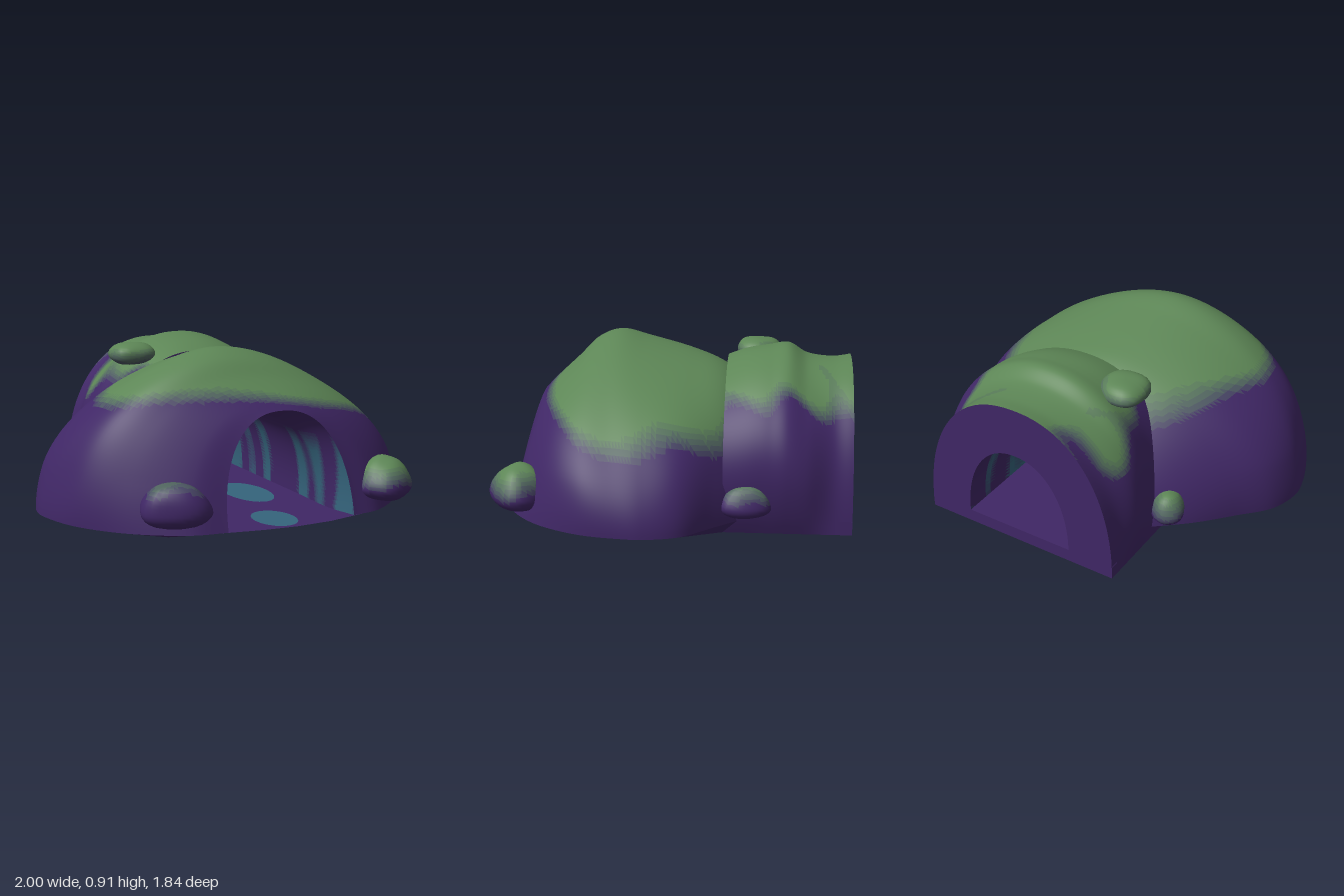
import * as THREE from 'three';
import { ConvexGeometry } from 'three/addons/geometries/ConvexGeometry.js';

const MOSS = 0x5d8656, ROCK = 0x402766, TEAL = 0x35647c, CRYSTAL = 0x7a5a9c;
const FLOOR = 0.07, STEPS = 80, BANDS = 6;

const wave = (x, y, z) =>
  (Math.sin(7 * x + 2 * z + 1) + Math.sin(9 * y - 5 * z + 2 * x) + Math.sin(11 * z + 4 * x - 3 * y)) / 3;

const material = (color) => new THREE.MeshStandardMaterial({ color, side: THREE.DoubleSide });

// One arch: feet at xL and xR, crown at height top; feet and crown may lie at different z.
// bulgeL and bulgeR swell its flanks, skew shifts its crown sideways.
function arch({ xL, xR, zf, top, zt = zf, n = 2, y0 = FLOOR, skew = 0, bulgeL = 0, bulgeR = 0 }) {
  return Array.from({ length: STEPS + 1 }, (_, j) => {
    const a = (j / STEPS) * Math.PI;
    const c = Math.cos(a), h = Math.pow(Math.max(0, Math.sin(a)), 2 / n);
    const x = (xL + xR) / 2 + ((xR - xL) / 2) * Math.sign(c) * Math.pow(Math.abs(c), 2 / n)
      + skew * h * h + 4 * h * (1 - h) * (c > 0 ? bulgeR : -bulgeL);
    return new THREE.Vector3(x, y0 + (top - y0) * h, zf + (zt - zf) * h);
  });
}

// Smooth skin through a row of arches, optionally roughened between its ends.
function loft(arches, rows, rough = 0, y0 = FLOOR) {
  const curves = arches[0].map((_, j) =>
    new THREE.CatmullRomCurve3(arches.map((s) => s[j]), false, 'centripetal'));
  const pos = [], index = [];
  for (let i = 0; i <= rows; i++) {
    const t = i / rows;
    curves.forEach((curve) => {
      const p = curve.getPoint(t);
      const lift = Math.min(1, 4 * (p.y - y0));
      const d = 1 + rough * lift * wave(p.x, p.y, p.z) * Math.min(1, 5 * t * (1 - t));
      pos.push(0.08 + (p.x - 0.08) * d, y0 + (p.y - y0) * d, p.z);
    });
  }
  const w = STEPS + 1;
  for (let i = 0; i < rows; i++) for (let j = 0; j < STEPS; j++) {
    const a = i * w + j, b = a + w;
    index.push(a, b, a + 1, b, b + 1, a + 1);
  }
  const g = new THREE.BufferGeometry();
  g.setAttribute('position', new THREE.Float32BufferAttribute(pos, 3));
  g.setIndex(index);
  g.computeVertexNormals();
  return g;
}

// Splits a skin into bands blending from rock to a patch colour by the level at each face centre.
function paint(geometry, name, level, patchName, patchColor) {
  const src = geometry.toNonIndexed(), p = src.attributes.position, nr = src.attributes.normal;
  const sets = Array.from({ length: BANDS + 1 }, () => ({ p: [], n: [] }));
  for (let i = 0; i < p.count; i += 3) {
    const mid = (k) => (p.array[3 * i + k] + p.array[3 * i + 3 + k] + p.array[3 * i + 6 + k]) / 3;
    const v = level(mid(0), mid(1), mid(2)) / 0.12 + 0.5;
    const set = sets[Math.round(BANDS * THREE.MathUtils.clamp(v, 0, 1))];
    for (let k = 3 * i; k < 3 * i + 9; k++) { set.p.push(p.array[k]); set.n.push(nr.array[k]); }
  }
  const group = new THREE.Group();
  group.name = name;
  sets.forEach((set, k) => {
    if (!set.p.length) return;
    const g = new THREE.BufferGeometry();
    g.setAttribute('position', new THREE.Float32BufferAttribute(set.p, 3));
    g.setAttribute('normal', new THREE.Float32BufferAttribute(set.n, 3));
    const color = new THREE.Color(ROCK).lerp(new THREE.Color(patchColor), k / BANDS);
    const mesh = new THREE.Mesh(g, material(color));
    mesh.name = k === 0 ? name + 'Rock' : k === BANDS ? patchName : patchName + 'Edge';
    group.add(mesh);
  });
  return group;
}

// Lumpy stone with a flattened base, narrowing upwards by taper, turned about y; mossy above mossY.
function boulder(name, [x, y, z], [rx, ry, rz], mossY, taper, turn) {
  const g = new THREE.SphereGeometry(1, 28, 20), p = g.attributes.position;
  for (let i = 0; i < p.count; i++) {
    const v = new THREE.Vector3().fromBufferAttribute(p, i);
    const square = 0.95 / Math.pow(v.x ** 4 + v.y ** 4 + v.z ** 4, 0.08);
    v.multiplyScalar(square * (1 + 0.1 * wave(v.x * 0.4 + x, v.y * 0.4, v.z * 0.4 + z)));
    const slim = 1 - taper * Math.max(0, v.y + 0.4);
    p.setXYZ(i, v.x * rx * slim, Math.max(v.y, -0.85) * ry, v.z * rz * slim);
  }
  g.rotateY(turn).translate(x, y, z);
  g.computeVertexNormals();
  return paint(g, name, (a, b, c) => b - mossY - 0.03 * wave(a * 3, 0, c * 3), name + 'Moss', MOSS);
}

export function createModel() {
  const model = new THREE.Group();
  model.name = 'caveTunnel';
  const add = (geometry, name, color) => {
    const mesh = new THREE.Mesh(geometry, material(color));
    mesh.name = name;
    model.add(mesh);
    return mesh;
  };

  // Main dome, from the mouth rim over the crown to the back: [xL, xR, zFoot, top, zTop, n, skew]
  const domeRows = [
    [-0.28, 0.44, 0.84, 0.62, 0.71, 2.3, 0],
    [-0.46, 0.60, 0.81, 0.67, 0.66, 2.2, -0.02],
    [-0.72, 0.81, 0.65, 0.77, 0.55, 2.1, -0.06],
    [-0.91, 0.95, 0.42, 0.86, 0.45, 1.9, -0.11],
    [-0.985, 0.995, 0.22, 0.90, 0.33, 1.78, -0.12],
    [-1.00, 1.00, 0.10, 0.87, 0.17, 1.8, -0.09],
    [-0.95, 0.95, -0.07, 0.80, -0.08, 1.85, -0.03],
    [-0.81, 0.79, -0.23, 0.73, -0.26, 1.9, 0.02],
    [-0.65, 0.62, -0.40, 0.63, -0.38, 1.9, 0.02],
    [-0.46, 0.46, -0.56, 0.50, -0.46, 2, 0],
  ].map(([xL, xR, zf, top, zt, n, skew]) => ({ xL, xR, zf, top, zt, n, skew }));
  model.add(paint(loft(domeRows.map(arch), 80, 0.015), 'dome',
    (x, y, z) => y - 0.59 + 0.13 * x - 0.09 * wave(x, y, z) - 0.5 * Math.max(0, z - 0.45), 'domeMoss', MOSS));

  // Rear tunnel section: [z, top, bulgeL, bulgeR]
  const tailRows = [
    [-0.27, 0.80, 0.0, 0.09], [-0.40, 0.845, 0.0, 0.10], [-0.50, 0.87, 0.01, 0.10],
    [-0.59, 0.88, 0.02, 0.10], [-0.69, 0.82, 0.03, 0.08], [-0.82, 0.80, 0, 0.01], [-0.92, 0.81, 0, 0],
  ].map(([zf, top, bulgeL, bulgeR]) => ({ zf, top, bulgeL, bulgeR, xL: -0.48, xR: 0.65, n: 2.25, y0: 0 }));
  model.add(paint(loft(tailRows.map(arch), 50, 0.02, 0), 'rearSection',
    (x, y, z) => y - 0.64 - 0.14 * wave(x * 2, y, z * 2), 'rearSectionMoss', MOSS));

  // Tunnel wall: straight from the back opening, flaring at the mouth
  const backHole = { xL: -0.22, xR: 0.40, zf: -0.92, top: 0.535, n: 2.15 };
  const midHole = { ...backHole, zf: -0.27, top: 0.55 };
  const frontHole = { ...midHole, zf: 0.35 };
  const throat = { ...midHole, zf: 0.66, zt: 0.52, top: 0.56 };
  model.add(paint(loft([backHole, midHole, frontHole, throat, domeRows[0]].map(arch), 60), 'tunnelWall',
    (x, y, z) => Math.min(0.42 - y, 0.3 * (wave(x, y * 0.5, z * 3) - 0.15)), 'tunnelWallGlow', TEAL));

  // End faces of the rear section
  add(loft([tailRows[6], backHole].map(arch), 2), 'backFace', ROCK);
  add(loft([midHole, tailRows[0]].map(arch), 2), 'innerFace', ROCK);

  // Shallow bowl under the dome and slab under the rear section
  const rim = domeRows.slice(0, 9).flatMap(({ xL, xR, zf }) =>
    [new THREE.Vector3(xL, FLOOR, zf), new THREE.Vector3(xR, FLOOR, zf)]);
  [[-0.1, 0.875], [0.08, 0.89], [0.28, 0.88], [0.42, 0.85]].forEach(([x, z]) =>
    rim.push(new THREE.Vector3(x, FLOOR, z)));
  for (const x of [-0.48, 0.65]) for (const z of [-0.27, 0.57]) rim.push(new THREE.Vector3(x, 0, z));
  add(new ConvexGeometry(rim), 'domeBase', ROCK);
  add(new THREE.BoxGeometry(1.13, FLOOR, 0.66).translate(0.085, FLOOR / 2, -0.59), 'rearBase', ROCK);

  // Glowing patches on the tunnel floor
  [[0.04, 0.72, 0.11, 0.15], [0.16, 0.2, 0.12, 0.22], [0.02, -0.35, 0.1, 0.2]].forEach(([x, z, rx, rz]) => {
    const patch = add(new THREE.CircleGeometry(1, 20).rotateX(-Math.PI / 2), 'floorGlow', TEAL);
    patch.scale.set(rx, 1, rz);
    patch.position.set(x, FLOOR + 0.003, z);
  });

  // Boulders
  model.add(boulder('frontRightBoulder', [-0.525, 0.215, 0.745], [0.19, 0.125, 0.13], 0.33, 0.25, -0.45));
  model.add(boulder('frontLeftBoulder', [0.665, 0.225, 0.765], [0.18, 0.12, 0.145], 0.25, 0.25, 0.5));
  model.add(boulder('rearLeftBoulder', [0.69, 0.18, -0.385], [0.09, 0.09, 0.15], 0.23, 0.3, 0));
  model.add(boulder('rearRightBoulder', [-0.53, 0.18, -0.46], [0.1, 0.09, 0.11], 0.21, 0.2, 0.4));
  model.add(boulder('topBoulder', [-0.25, 0.785, -0.43], [0.135, 0.07, 0.14], 0.77, 0.1, 0));

  // Stalactites near the back opening: [x, z, tip height, radius]
  [[-0.07, -0.6, 0.45, 0.03], [-0.03, -0.63, 0.405, 0.035], [0.0, -0.58, 0.43, 0.025],
    [0.17, -0.7, 0.39, 0.042], [0.21, -0.64, 0.45, 0.03], [0.27, -0.66, 0.42, 0.035]].forEach(([x, z, tip, r]) => {
    const h = 0.56 - tip;
    const profile = [[0, 0], [0.5, 0.25], [0.9, 0.6], [1, 1]].map(([a, b]) => new THREE.Vector2(a * r, b * h));
    add(new THREE.LatheGeometry(profile, 7), 'stalactite', CRYSTAL).position.set(x, tip, z);
  });

  return model;
}
